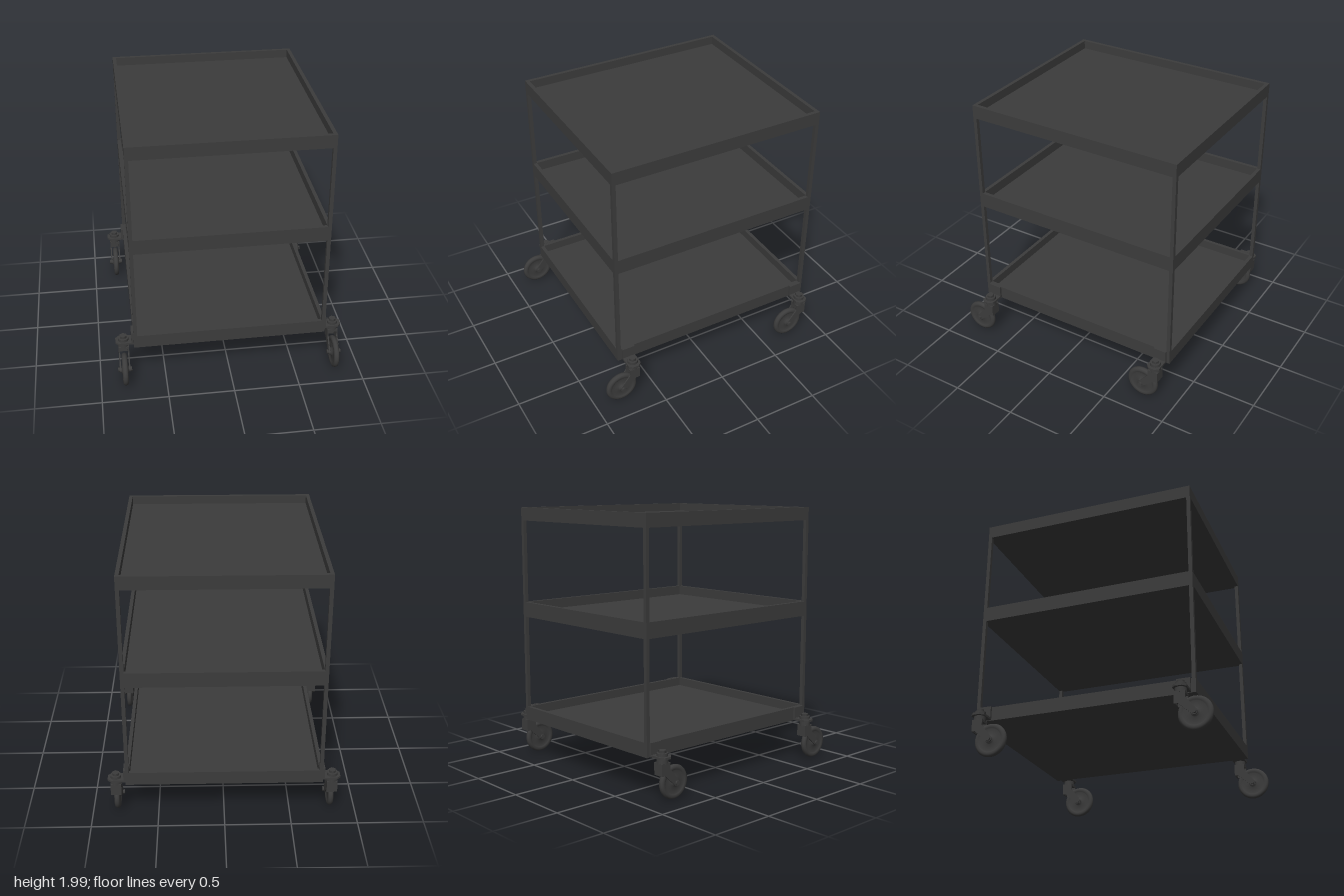
import * as THREE from 'three';

const paint = new THREE.MeshStandardMaterial({ color: 0x3c3c3c });
const W = 0.735, BACK = -0.905, FRONT = 0.77;   // frame limits
const RAIL = 0.028;                             // rail and post thickness
const MID = (FRONT + BACK) / 2, DEPTH = FRONT - BACK;

function add(parent, name, geometry, x = 0, y = 0, z = 0) {
  const mesh = new THREE.Mesh(geometry, paint);
  mesh.name = name;
  mesh.position.set(x, y, z);
  parent.add(mesh);
  return mesh;
}

function outline(points) {
  return new THREE.Shape(points.map(([x, y]) => new THREE.Vector2(x, y)));
}

function extrude(shape, depth) {
  return new THREE.ExtrudeGeometry(shape, { depth, bevelEnabled: false, curveSegments: 12 });
}

// Tray: a raised rim around a recessed floor
function shelf(bottom, top) {
  const tray = new THREE.Group();
  const rim = outline([[-W, -DEPTH / 2], [W, -DEPTH / 2], [W, DEPTH / 2], [-W, DEPTH / 2]]);
  const w = W - RAIL, d = DEPTH / 2 - RAIL;
  rim.holes.push(new THREE.Path([[-w, -d], [-w, d], [w, d], [w, -d]].map(p => new THREE.Vector2(...p))));
  add(tray, 'shelfRim', extrude(rim, top - bottom).rotateX(-Math.PI / 2), 0, bottom, MID);
  const floor = (top - bottom) * 0.35;
  add(tray, 'shelfFloor', new THREE.BoxGeometry(2 * w, floor, 2 * d), 0, bottom + floor / 2, MID);
  return tray;
}

// Swivel caster; origin on the ground below the swivel bolt, +x points away from the frame
function caster() {
  const g = new THREE.Group();
  const axleY = 0.13, axleZ = 0.1;

  // Chamfered mounting plate and upright tab against the frame
  const plate = outline([[-0.08, -0.05], [0.035, -0.05], [0.06, -0.025], [0.06, 0.025], [0.035, 0.05], [-0.08, 0.05]]);
  add(g, 'mountPlate', extrude(plate, 0.016).rotateX(-Math.PI / 2), 0, 0.32, 0);
  add(g, 'mountTab', new THREE.BoxGeometry(0.018, 0.1, 0.1), -0.069, 0.372, 0);

  // Swivel bolt and bearing
  add(g, 'swivelWasher', new THREE.CylinderGeometry(0.04, 0.04, 0.022, 24), 0, 0.347, 0);
  add(g, 'swivelNut', new THREE.CylinderGeometry(0.028, 0.028, 0.02, 6), 0, 0.367, 0);
  add(g, 'swivelBearing', new THREE.CylinderGeometry(0.042, 0.042, 0.04, 24), 0, 0.3, 0);
  add(g, 'forkCrown', new THREE.BoxGeometry(0.08, 0.018, 0.08), 0, 0.281, 0);

  // Fork cheeks, drawn in (z, y) and raked forward to the axle
  const cheek = new THREE.Shape();
  cheek.moveTo(-0.04, 0.29);
  cheek.lineTo(-0.04, 0.2);
  cheek.lineTo(-0.01, 0.2);
  cheek.lineTo(axleZ - 0.018, axleY - 0.014);
  cheek.absarc(axleZ, axleY, 0.023, Math.PI * 1.22, Math.PI * 2.2, false);
  cheek.lineTo(0.04, 0.24);
  cheek.lineTo(0.04, 0.29);
  cheek.closePath();
  for (const s of [-1, 1]) {
    const geometry = extrude(cheek, 0.01).translate(0, 0, -0.005).rotateY(-Math.PI / 2);
    add(g, 'forkCheek', geometry, s * 0.035, 0, 0);
    add(g, 'axleNut', new THREE.CylinderGeometry(0.018, 0.018, 0.014, 6).rotateZ(Math.PI / 2), s * 0.046, axleY, axleZ);
  }
  add(g, 'forkBack', new THREE.BoxGeometry(0.08, 0.08, 0.01), 0, 0.24, -0.035);
  add(g, 'axle', new THREE.CylinderGeometry(0.01, 0.01, 0.1, 12).rotateZ(Math.PI / 2), 0, axleY, axleZ);

  // Wheel: rounded tyre, dished web, raised hub
  const profile = [
    [0.01, -0.028], [0.03, -0.028], [0.032, -0.012], [0.085, -0.012], [0.09, -0.02],
    [0.108, -0.021], [0.12, -0.014], [0.125, 0], [0.12, 0.014], [0.108, 0.021],
    [0.09, 0.02], [0.085, 0.012], [0.032, 0.012], [0.03, 0.028], [0.01, 0.028],
  ].map(p => new THREE.Vector2(...p));
  add(g, 'wheel', new THREE.LatheGeometry(profile, 40).rotateZ(Math.PI / 2), 0, axleY, axleZ);
  return g;
}

export function createModel() {
  const cart = new THREE.Group();
  cart.name = 'shelfCart';

  // Three trays
  const levels = { bottomShelf: [0.32, 0.425], middleShelf: [1.15, 1.265], topShelf: [1.9, 2] };
  for (const [name, [bottom, top]] of Object.entries(levels)) {
    const tray = shelf(bottom, top);
    tray.name = name;
    cart.add(tray);
  }

  // Corner posts between the trays
  for (const s of [-1, 1]) {
    for (const z of [BACK + RAIL / 2, FRONT - RAIL / 2]) {
      for (const [low, high] of [[0.425, 1.15], [1.265, 1.9]]) {
        add(cart, 'cornerPost', new THREE.BoxGeometry(RAIL, high - low, RAIL), s * (W - RAIL / 2), (low + high) / 2, z);
      }
    }
  }

  // Four casters, all trailing toward the front
  for (const s of [-1, 1]) {
    for (const z of [-0.83, 0.685]) {
      const c = caster();
      c.name = (s > 0 ? 'left' : 'right') + (z > 0 ? 'Front' : 'Back') + 'Caster';
      if (s < 0) for (const part of c.children) {
        if (part.name === 'mountPlate') part.geometry.rotateZ(Math.PI).rotateX(Math.PI).translate(0, 0, 0);
        if (part.name === 'mountTab') part.position.x *= -1;
      }
      c.position.set(s * 0.812, 0.005, z);
      cart.add(c);
    }
  }
  return cart;
}
